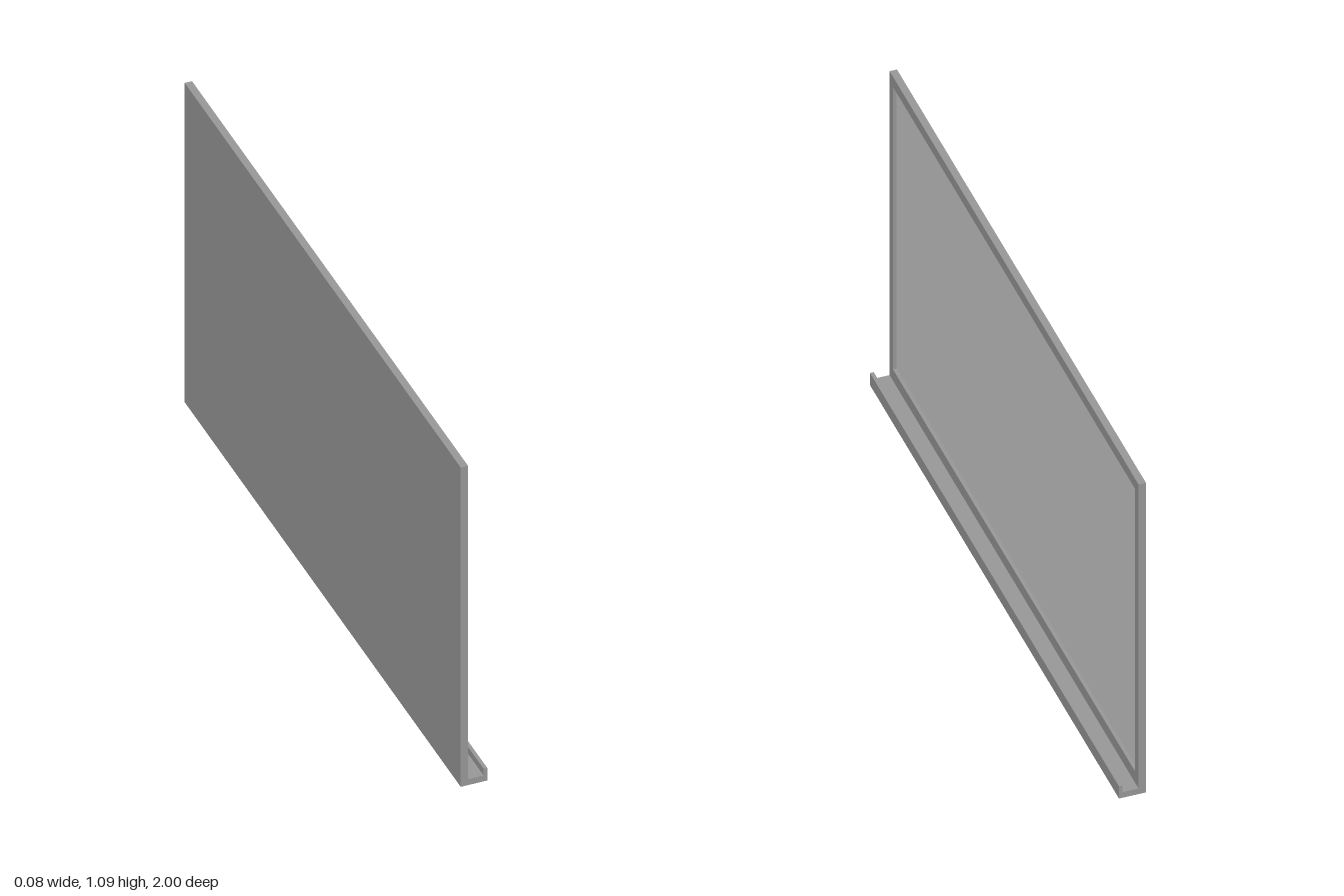
import * as THREE from 'three';

const LENGTH = 2, HEIGHT = 1.09;
const BACK = -0.04, FACE = -0.018, PANEL = -0.029; // x of back, frame face, recessed panel

export function createModel() {
  const group = new THREE.Group();
  const frameMat = new THREE.MeshStandardMaterial({ color: 0x999999 });
  const panelMat = new THREE.MeshStandardMaterial({ color: 0xcccccc });

  const add = (name, geometry, material) => {
    const mesh = new THREE.Mesh(geometry, material);
    mesh.name = name;
    group.add(mesh);
    return mesh;
  };
  const polygon = (points) => points.map(([x, y]) => new THREE.Vector2(x, y));
  const rect = (w, y0, y1) => polygon([[-w, y0], [w, y0], [w, y1], [-w, y1]]);

  // Border around the panel, extruded from the back to the frame face
  const border = new THREE.Shape(rect(LENGTH / 2, 0, HEIGHT));
  border.holes.push(new THREE.Path(rect(0.973, 0.06, 1.054)));
  const frame = add('frame',
    new THREE.ExtrudeGeometry(border, { depth: FACE - BACK, bevelEnabled: false }), frameMat);
  frame.rotation.y = Math.PI / 2;
  frame.position.x = BACK;

  // Backing sheet closing the rear of the opening
  const opening = [1.054 - 0.06, 2 * 0.973];
  const midY = (1.054 + 0.06) / 2;
  const backing = add('backing', new THREE.BoxGeometry(0.005, ...opening), frameMat);
  backing.position.set(BACK + 0.0025, midY, 0);

  // Recessed writing panel
  const thickness = PANEL - BACK - 0.005;
  const panel = add('panel', new THREE.BoxGeometry(thickness, ...opening), panelMat);
  panel.position.set(PANEL - thickness / 2, midY, 0);

  // L-shaped tray along the bottom edge, with an upturned lip
  const profile = new THREE.Shape(polygon([
    [FACE, 0], [0.04, 0], [0.04, 0.043], [0.029, 0.043], [0.029, 0.02], [FACE, 0.02],
  ]));
  const tray = add('tray',
    new THREE.ExtrudeGeometry(profile, { depth: LENGTH, bevelEnabled: false }), frameMat);
  tray.position.z = -LENGTH / 2;

  return group;
}
